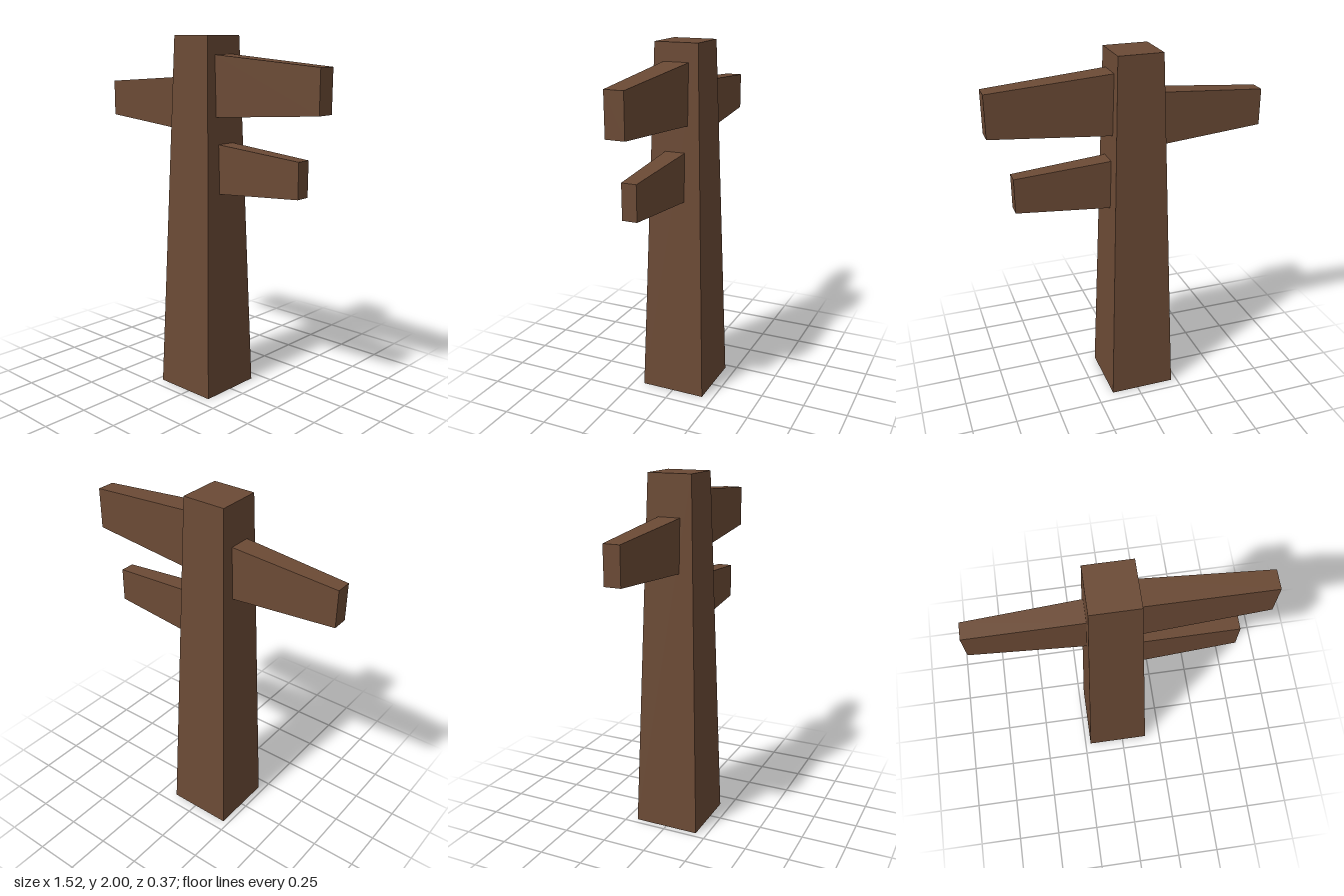
import * as THREE from 'three';

// Four-sided tapered beam rising from y = 0, open at its base
function taperedBeam(length, baseW, baseD, tipW, tipD) {
  const box = new THREE.BoxGeometry(1, length, 1).translate(0, length / 2, 0);
  const index = Array.from(box.index.array);
  index.splice(18, 6); // leave out the base face
  box.setIndex(index);
  box.clearGroups();
  const p = box.attributes.position;
  for (let i = 0; i < p.count; i++) {
    const tip = p.getY(i) > length / 2;
    p.setX(i, p.getX(i) * (tip ? tipW : baseW));
    p.setZ(i, p.getZ(i) * (tip ? tipD : baseD));
  }
  const geometry = box.toNonIndexed();
  geometry.computeVertexNormals();
  return geometry;
}

export function createModel() {
  const model = new THREE.Group();
  model.name = 'signpost';
  const wood = new THREE.MeshStandardMaterial({ color: 0x6b4a35, side: THREE.DoubleSide });
  wood.name = 'brown wood';

  // Post, slightly off centre to balance the arms
  const post = new THREE.Mesh(taperedBeam(2, 0.372, 0.374, 0.246, 0.248), wood);
  post.name = 'post';
  post.position.x = -0.031;
  model.add(post);

  // Arms: root and tip x, centre height, root height/depth, tip height/depth
  const arms = [
    ['upperLeftArm', 0.09, 0.757, 1.735, 0.33, 0.144, 0.23, 0.104],
    ['lowerLeftArm', 0.107, 0.635, 1.289, 0.272, 0.114, 0.192, 0.082],
    ['rightArm', -0.155, -0.76, 1.631, 0.292, 0.126, 0.202, 0.09],
  ];
  for (const [name, rootX, tipX, y, h, d, tipH, tipD] of arms) {
    const arm = new THREE.Mesh(taperedBeam(Math.abs(tipX - rootX), h, d, tipH, tipD), wood);
    arm.name = name;
    arm.rotation.z = -Math.sign(tipX) * Math.PI / 2;
    arm.position.set(rootX, y, 0);
    model.add(arm);
  }
  return model;
}
